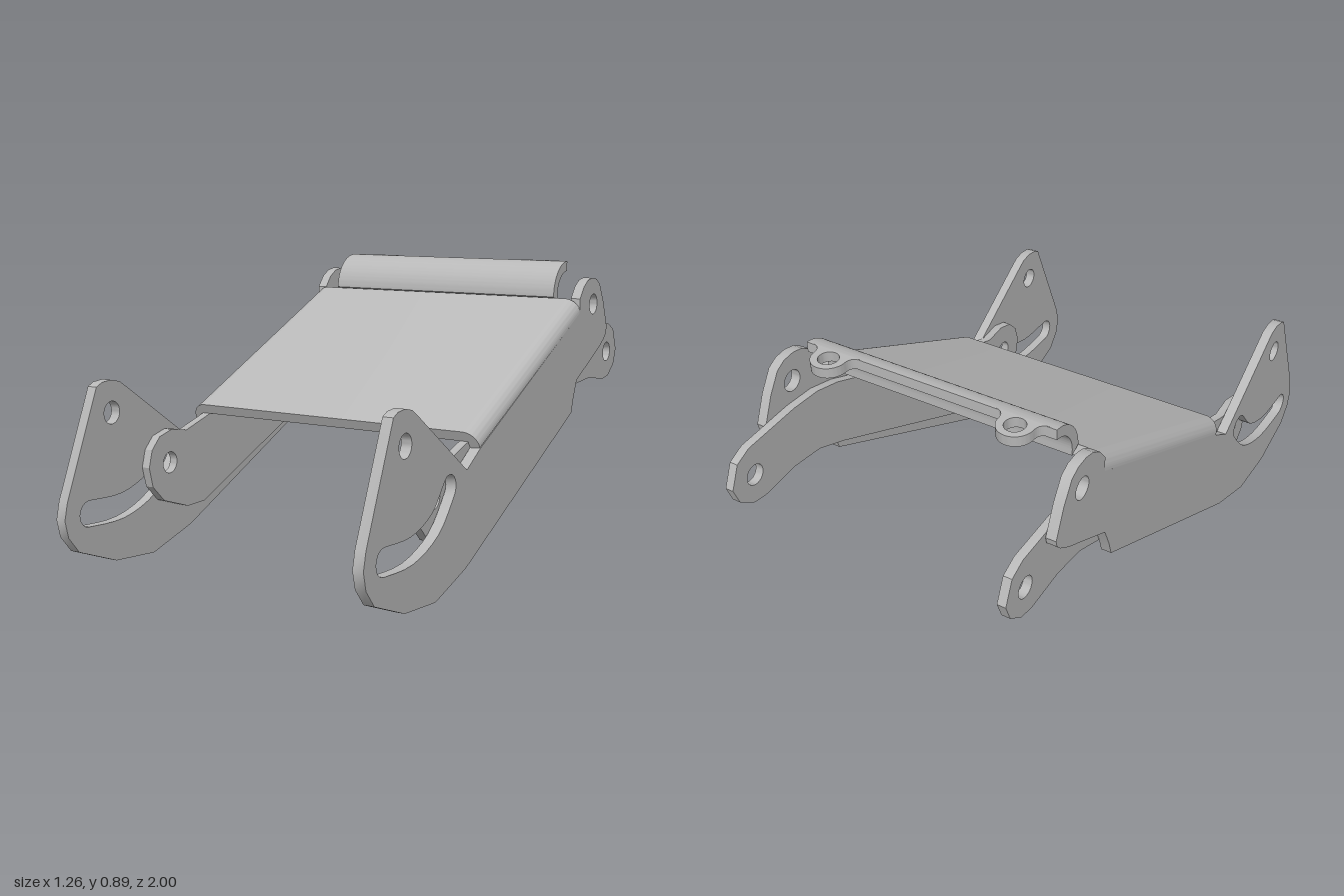
import * as THREE from 'three';
import { toCreasedNormals } from 'three/addons/utils/BufferGeometryUtils.js';

const steel = new THREE.MeshStandardMaterial({ color: 0xb8b8b8 });
steel.name = 'grey steel';

const OUTER = 0.522; // half width over the side plates
const SHEET = 0.033; // sheet thickness

const outline = pts => new THREE.Shape(pts.map(p => new THREE.Vector2(p[0], p[1])));

function roundHole(x, y, r) {
  const path = new THREE.Path();
  path.absarc(x, y, r, 0, Math.PI * 2, true);
  return path;
}

// Constant-width slot with round ends along a smooth curve
function slotHole(points, r) {
  const curve = new THREE.SplineCurve(points.map(p => new THREE.Vector2(p[0], p[1])));
  const n = 12, pts = [];
  const add = (t, turn) => {
    const p = curve.getPoint(t), d = curve.getTangent(t);
    const a = Math.atan2(d.y, d.x) + turn;
    pts.push(new THREE.Vector2(p.x + r * Math.cos(a), p.y + r * Math.sin(a)));
  };
  for (let i = 0; i <= n; i++) add(i / n, Math.PI / 2);
  for (let i = 1; i < 8; i++) add(1, Math.PI / 2 - Math.PI * i / 8);
  for (let i = n; i >= 0; i--) add(i / n, -Math.PI / 2);
  for (let i = 1; i < 8; i++) add(0, -Math.PI / 2 - Math.PI * i / 8);
  return new THREE.Path(pts);
}

function extrude(shape, depth) {
  return new THREE.ExtrudeGeometry(shape, { depth, bevelEnabled: false, curveSegments: 14 });
}

function part(name, geometry) {
  const mesh = new THREE.Mesh(toCreasedNormals(geometry, 0.5), steel);
  mesh.name = name;
  return mesh;
}

// Extrudes a (z, y) profile from x0 to x1
function sideways(shape, x0, x1) {
  return extrude(shape, x1 - x0).translate(0, 0, -x1).rotateY(-Math.PI / 2);
}

// Side plate with front ear, curved slot and rear ear
function sidePlateShape() {
  const shape = outline([
    [0.789, 0.568], [0.765, 0.579], [0.725, 0.582], [0.686, 0.573], [0.654, 0.552],
    [0.356, 0.348], [0.27, 0.396], [-0.486, 0.728], [-0.488, 0.777], [-0.519, 0.814],
    [-0.555, 0.835], [-0.594, 0.841], [-0.635, 0.835], [-0.668, 0.815], [-0.708, 0.75],
    [-0.746, 0.659], [-0.741, 0.638], [-0.724, 0.621], [-0.681, 0.595],
    [-0.475, 0.503], [-0.449, 0.445], [-0.433, 0.396], [0.356, 0.054],
    [0.546, 0.003], [0.724, 0.021], [0.886, 0.086], [0.929, 0.139], [0.942, 0.193],
    [0.929, 0.246],
  ]);
  shape.holes.push(
    roundHole(0.724, 0.482, 0.035),
    roundHole(-0.611, 0.75, 0.035),
    slotHole([[0.838, 0.193], [0.686, 0.187], [0.551, 0.23], [0.465, 0.316]], 0.04),
  );
  return shape;
}

// Cranked link lying inside each side plate
function linkShape() {
  const shape = outline([
    [0.594, 0.289], [0.578, 0.343], [0.54, 0.38], [0.48, 0.394], [0.405, 0.38],
    [0.189, 0.439], [-0.444, 0.664], [-0.54, 0.683], [-0.649, 0.682], [-0.855, 0.659],
    [-0.908, 0.632], [-0.94, 0.557], [-0.919, 0.503], [-0.865, 0.466], [-0.811, 0.461],
    [-0.676, 0.482], [-0.557, 0.477], [-0.444, 0.439], [0.319, 0.129], [0.405, 0.129],
    [0.524, 0.171], [0.578, 0.225],
  ]);
  shape.holes.push(roundHole(0.491, 0.289, 0.034), roundHole(-0.844, 0.557, 0.034));
  return shape;
}

// Folded cover cross-section: flat top with a rounded bend down each side
function coverShape() {
  const w = OUTER, t = SHEET, r = 0.05, drop = -0.056;
  const shape = new THREE.Shape();
  shape.moveTo(w, drop);
  shape.absarc(w - r, -r, r, 0, Math.PI / 2, false);
  shape.absarc(-w + r, -r, r, Math.PI / 2, Math.PI, false);
  shape.lineTo(-w, drop);
  shape.lineTo(-w + t, drop);
  shape.absarc(-w + r, -r, r - t, Math.PI, Math.PI / 2, true);
  shape.absarc(w - r, -r, r - t, Math.PI / 2, 0, true);
  shape.lineTo(w - t, drop);
  return shape;
}

// Quarter-round lip curling up behind the cover
function lipShape() {
  const z = -0.592, y = 0.78, r = 0.115;
  const shape = new THREE.Shape();
  shape.moveTo(z + r, y - 0.02);
  shape.absarc(z, y, r, 0, Math.PI / 2, false);
  shape.absarc(z, y, r - SHEET, Math.PI / 2, 0, true);
  shape.lineTo(z + r - SHEET, y - 0.02);
  return shape;
}

// Flat eyelet with a flared root, drawn pointing along +y
function tabShape() {
  const shape = new THREE.Shape();
  shape.moveTo(0.085, 0);
  shape.quadraticCurveTo(0.056, 0.005, 0.056, 0.035);
  shape.absarc(0, 0.035, 0.056, 0, Math.PI, false);
  shape.quadraticCurveTo(-0.056, 0.005, -0.085, 0);
  shape.holes.push(roundHole(0, 0.038, 0.032));
  return shape;
}

export function createModel() {
  const model = new THREE.Group();
  model.name = 'hingeBracket';
  const body = new THREE.Group();
  body.name = 'bracketBody';
  body.rotation.y = -0.131;
  body.position.x = 0.01;
  model.add(body);

  // Side plates and links, one of each per side
  for (const [label, s] of [['left', 1], ['right', -1]]) {
    const span = (a, b) => (s > 0 ? [a, b] : [-b, -a]);
    body.add(part(label + 'SidePlate', sideways(sidePlateShape(), ...span(OUTER - SHEET, OUTER))));
    body.add(part(label + 'Link', sideways(linkShape(), ...span(0.459, 0.487))));
  }

  // Sloping cover between the side plates
  const cover = part('cover', extrude(coverShape(), 0.836));
  cover.rotation.x = 0.409;
  cover.position.set(0, 0.777, -0.475);
  body.add(cover);

  // Curled lip and its two eyelets
  body.add(part('curledLip', sideways(lipShape(), -0.43, 0.43)));
  for (const [label, x] of [['left', 0.32], ['right', -0.32]]) {
    const tab = part(label + 'Eyelet', extrude(tabShape(), SHEET));
    tab.rotation.x = -Math.PI / 2 - 0.06;
    tab.position.set(x, 0.863, -0.588);
    body.add(tab);
  }
  return model;
}
